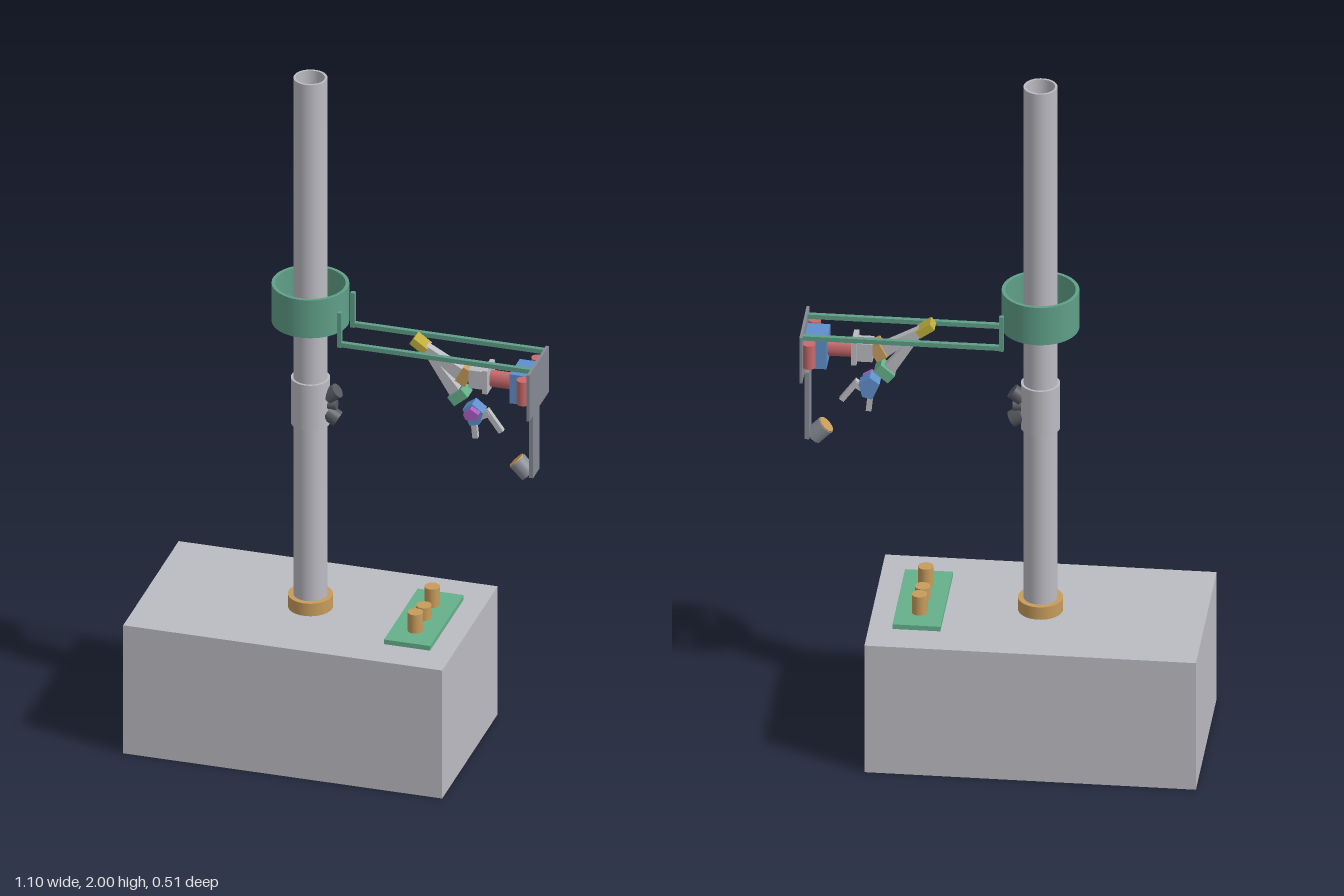
import * as THREE from 'three';

const mat = (name, color) => {
  const m = new THREE.MeshStandardMaterial({ color });
  m.name = name;
  return m;
};

export function createModel() {
  const root = new THREE.Group();
  root.name = 'gantryRobotStand';
  const M = {
    grey: mat('light grey', 0xbbbbc2), steel: mat('steel grey', 0x868a93), dark: mat('dark grey', 0x565960),
    teal: mat('teal', 0x5f9f88), green: mat('panel green', 0x66b08b), orange: mat('ochre', 0xc79c5c),
    yellow: mat('yellow', 0xbfae3c), red: mat('red', 0xc86a6c), blue: mat('blue', 0x5f8fcb), purple: mat('purple', 0xa95fc2),
  };
  const add = (name, geo, m, x = 0, y = 0, z = 0, rz = 0) => {
    const mesh = new THREE.Mesh(geo, m);
    mesh.name = name;
    mesh.position.set(x, y, z);
    mesh.rotation.z = rz;
    root.add(mesh);
    return mesh;
  };
  const box = (name, m, w, h, d, x, y, z = 0, rz = 0) => add(name, new THREE.BoxGeometry(w, h, d), m, x, y, z, rz);
  const cyl = (name, m, r, h, x, y, z = 0, rz = 0) => add(name, new THREE.CylinderGeometry(r, r, h, 32), m, x, y, z, rz);
  // Hollow ring from separate walls and rims, so the edges stay sharp
  const tube = (name, m, ro, ri, y0, y1, x) => {
    const c = [[ri, y0], [ro, y0], [ro, y1], [ri, y1], [ri, y0]].map(p => new THREE.Vector2(...p));
    for (let i = 0; i < 4; i++) add(name, new THREE.LatheGeometry([c[i], c[i + 1]], 48), m, x);
  };
  // Flat link cut from an outline in the x-y plane, centred on z
  const plate = (name, m, pts, depth, z = 0) => {
    const s = new THREE.Shape(pts.map(p => new THREE.Vector2(...p)));
    return add(name, new THREE.ExtrudeGeometry(s, { depth, bevelEnabled: false }), m, 0, 0, z - depth / 2);
  };

  // Base and mast
  box('base', M.grey, 0.9, 0.39, 0.512, -0.1, 0.195);
  tube('mast', M.grey, 0.046, 0.039, 0.39, 2, -0.1);
  tube('mastFoot', M.orange, 0.061, 0.045, 0.39, 0.428, -0.1);
  tube('mastClamp', M.grey, 0.053, 0.045, 0.95, 1.088, -0.1);

  // Sensor pair on the clamp
  cyl('upperSensor', M.dark, 0.021, 0.035, -0.037, 1.047, 0, -0.9);
  cyl('lowerSensor', M.dark, 0.023, 0.035, -0.037, 0.98, 0, -2.1);
  cyl('sensorMount', M.dark, 0.014, 0.04, -0.045, 1.013, 0, Math.PI / 2);

  // Control panel
  box('controlPanel', M.green, 0.13, 0.014, 0.31, 0.22, 0.397);
  for (const z of [-0.078, 0, 0.078]) {
    const h = z ? 0.056 : 0.038;
    cyl('panelKnob', M.orange, 0.021, h, 0.22, 0.404 + h / 2, z);
  }

  // Carrier ring with two rails
  tube('carrierRing', M.teal, 0.105, 0.095, 1.26, 1.375, -0.1);
  for (const z of [-0.072, 0.05]) {
    box('railHanger', M.teal, 0.012, 0.105, 0.013, -0.002, 1.272, z);
    box('rail', M.teal, 0.54, 0.013, 0.013, 0.268, 1.228, z);
  }

  // End plate, drives and camera strut
  box('endPlate', M.steel, 0.008, 0.14, 0.18, 0.541, 1.165);
  box('driveBox', M.blue, 0.062, 0.088, 0.094, 0.507, 1.163);
  for (const z of [-0.068, 0.068]) cyl('driveMotor', M.red, 0.018, 0.072, 0.521, 1.172, z);
  box('cameraStrut', M.steel, 0.012, 0.205, 0.058, 0.531, 0.993);
  cyl('cameraBody', M.steel, 0.026, 0.048, 0.5, 0.905, 0, Math.PI / 4);
  cyl('cameraLens', M.orange, 0.024, 0.004, 0.482, 0.923, 0, Math.PI / 4);

  // Robot shoulder
  cyl('shoulderMotor', M.red, 0.017, 0.075, 0.44, 1.162, 0, Math.PI / 2).scale.x = 1.45;
  box('shoulderFlange', M.grey, 0.014, 0.07, 0.074, 0.403, 1.165);
  box('shoulderBlock', M.grey, 0.045, 0.054, 0.05, 0.376, 1.163);
  box('shoulderJoint', M.orange, 0.032, 0.05, 0.046, 0.34, 1.165, 0, -0.5);

  // Folded arm, elbow and forearm
  plate('upperArm', M.grey, [[0.215, 1.246], [0.222, 1.222], [0.316, 1.147], [0.34, 1.178]], 0.024);
  box('elbow', M.yellow, 0.047, 0.022, 0.044, 0.211, 1.238, 0, -0.62);
  plate('forearm', M.grey, [[0.212, 1.235], [0.235, 1.225], [0.33, 1.11], [0.3, 1.092]], 0.024);
  box('wristJoint', M.green, 0.05, 0.03, 0.046, 0.322, 1.1, 0, 0.7);

  // Wrist and gripper
  plate('wristBlock', M.blue, [[0.335, 1.065], [0.362, 1.085], [0.392, 1.062], [0.382, 1.025], [0.355, 1.018]], 0.04);
  plate('wristMotor', M.purple, [[0.342, 1.06], [0.362, 1.08], [0.386, 1.065], [0.38, 1.048], [0.35, 1.045]], 0.02, 0.03);
  box('gripperFinger', M.grey, 0.015, 0.075, 0.015, 0.418, 1.034, 0, 0.63);
  box('gripperFinger', M.grey, 0.015, 0.05, 0.015, 0.364, 1, 0, 0.1);
  box('gripperPalm', M.grey, 0.03, 0.018, 0.02, 0.393, 1.05, 0, 0.5);
  return root;
}
